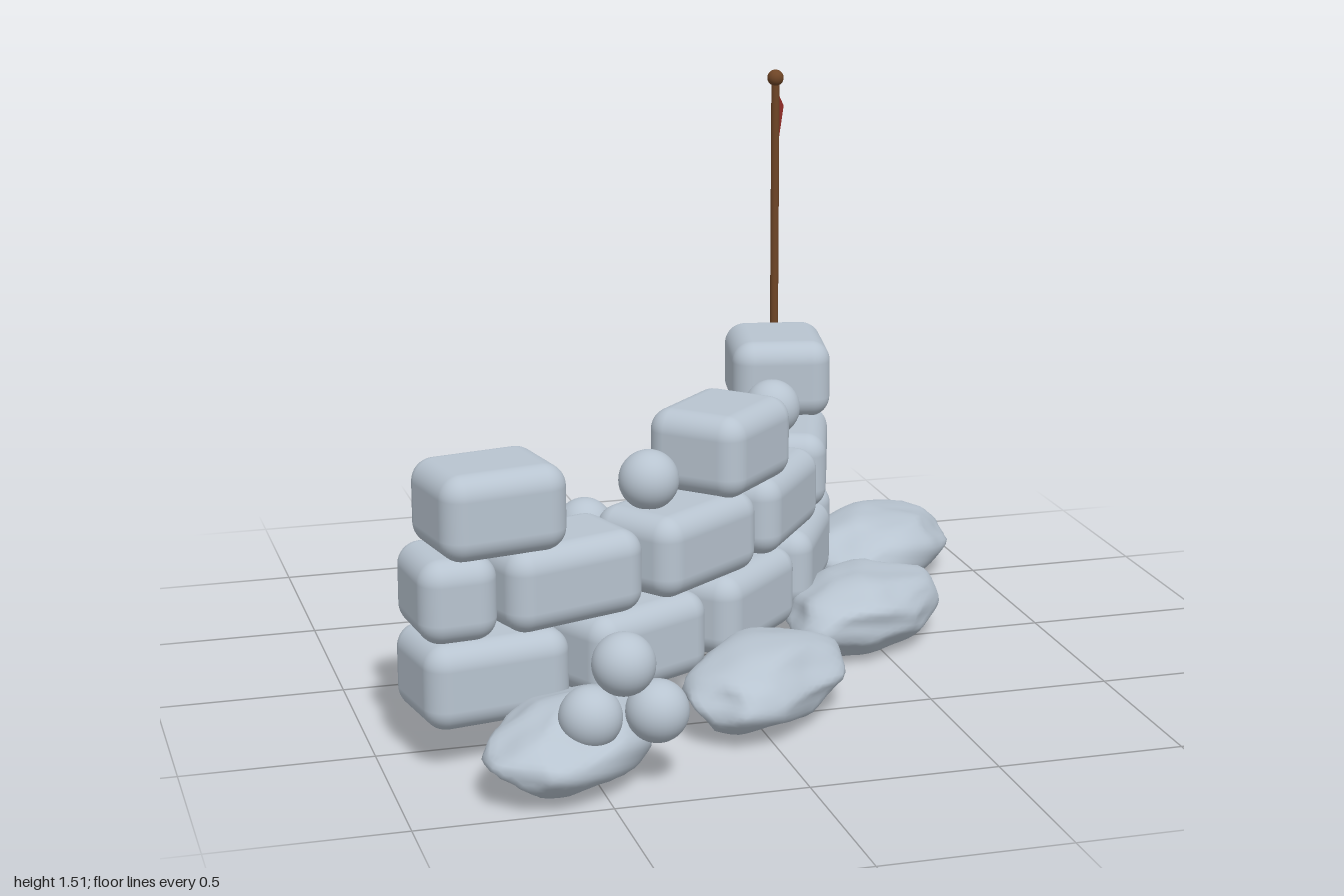
import * as THREE from 'three';
import { mergeVertices } from 'three/addons/utils/BufferGeometryUtils.js';
import { RoundedBoxGeometry } from 'three/addons/geometries/RoundedBoxGeometry.js';

const material = (name, color, side = THREE.FrontSide) => {
  const m = new THREE.MeshStandardMaterial({ color, side });
  m.name = name;
  return m;
};

// Small seeded generator
function seeded(seed) {
  let s = seed;
  return () => {
    s = (s * 16807) % 2147483647;
    return s / 2147483647;
  };
}

// Flattened lump: a unit ball cut by slanted planes, then gently rippled
function lumpGeometry(seed, a, b, c) {
  const rnd = seeded(seed * 7919 + 13);
  for (let i = 0; i < 5; i++) rnd();
  const cuts = [];
  for (let i = 0; i < 22; i++) {
    const y = rnd() * 2 - 1, t = rnd() * Math.PI * 2, r = Math.sqrt(1 - y * y);
    cuts.push({ n: new THREE.Vector3(r * Math.cos(t), y, r * Math.sin(t)), h: 0.86 + rnd() * 0.12 });
  }
  let geo = new THREE.IcosahedronGeometry(1, 9);
  geo.deleteAttribute('normal');
  geo.deleteAttribute('uv');
  geo = mergeVertices(geo, 1e-4);
  const pos = geo.attributes.position, v = new THREE.Vector3();
  for (let i = 0; i < pos.count; i++) {
    v.fromBufferAttribute(pos, i).normalize();
    let r = 1.03;
    for (const { n, h } of cuts) {
      const d = v.dot(n);
      if (d > 0.1) r = Math.min(r, h / d);
    }
    r += 0.018 * Math.sin(v.x * 7 + seed) * Math.sin(v.z * 8 + seed * 2) + 0.012 * Math.sin(v.y * 9 + v.x * 5);
    pos.setXYZ(i, v.x * r * a, v.y * r * b, v.z * r * c);
  }
  geo.computeVertexNormals();
  return geo;
}

export function createModel() {
  const model = new THREE.Group();
  model.name = 'curvedWall';
  const stone = material('pale stone', 0xb8c4d0);
  const wood = material('brown wood', 0x6e4526);
  const cloth = material('red cloth', 0xae3630, THREE.DoubleSide);

  const add = (name, geo, mat, x, y, z, parent = model) => {
    const mesh = new THREE.Mesh(geo, mat);
    mesh.name = name;
    mesh.position.set(x, y, z);
    parent.add(mesh);
    return mesh;
  };
  const group = (name) => {
    const g = new THREE.Group();
    g.name = name;
    model.add(g);
    return g;
  };

  // Blocks follow an arc; the angle gives each one's place and heading
  const CX = -0.963, CZ = -0.84, R = 1.386;
  const course = (name, angles, y, lengthOf, height, depth) => {
    const g = group(name);
    angles.forEach((deg, i) => {
      const t = THREE.MathUtils.degToRad(deg);
      const geo = new RoundedBoxGeometry(lengthOf(i), height, depth, 5, 0.06);
      const block = add('block', geo, stone, CX + R * Math.cos(t), y, CZ + R * Math.sin(t), g);
      block.rotation.y = Math.PI / 2 - t;
    });
  };
  course('bottomCourse', [80, 62.5, 45, 27.5, 10], 0.233, () => 0.39, 0.225, 0.29);
  course('middleCourse', [83.8, 71.25, 53.75, 36.25, 18.75, 6.2], 0.453,
    (i) => (i === 0 || i === 5 ? 0.205 : 0.4), 0.22, 0.275);
  course('battlements', [79, 45, 11], 0.665, () => 0.34, 0.225, 0.285);

  // Balls on the wall and in two piles
  const ballGeo = new THREE.SphereGeometry(0.08, 32, 20);
  const balls = (name, list) => {
    const g = group(name);
    list.forEach(([x, y, z]) => add('ball', ballGeo, stone, x, y, z, g));
  };
  balls('wallBalls', [[-0.23, 0.632, 0.32], [0.295, 0.63, -0.29]]);
  balls('frontPile', [[-0.53, 0.21, 0.885], [-0.36, 0.21, 0.885], [-0.445, 0.34, 0.885]]);
  balls('backPile', [[-0.305, 0.21, -0.232], [-0.232, 0.21, -0.256], [-0.268, 0.34, -0.244]]);

  // Low drifts at the foot of the wall: x, z, half length, half width, heading
  const drifts = group('drifts');
  [
    [-0.55, 0.775, 0.29, 0.18, 46],
    [0.035, 0.485, 0.3, 0.185, 48],
    [0.475, 0.0, 0.3, 0.185, 46],
    [0.695, -0.53, 0.28, 0.185, 44],
    [-0.5, 0.165, 0.3, 0.2, 44],
    [0.03, -0.36, 0.3, 0.19, 48],
  ].forEach(([x, z, a, c, deg], i) => {
    const lump = add('drift', lumpGeometry(i + 1, a, 0.108, c), stone, x, 0, z, drifts);
    lump.geometry.computeBoundingBox();
    lump.position.y = 0.012 - lump.geometry.boundingBox.min.y;
    lump.rotation.y = THREE.MathUtils.degToRad(deg);
  });

  // Pole with a knob and a triangular pennant
  const flag = group('flag');
  flag.position.set(0.435, 0, -0.725);
  add('pole', new THREE.CylinderGeometry(0.012, 0.012, 1, 16), wood, 0, 1.0, 0, flag);
  add('knob', new THREE.SphereGeometry(0.024, 20, 14), wood, 0, 1.503, 0, flag);
  const shape = new THREE.Shape();
  shape.moveTo(0.008, 1.465);
  shape.lineTo(0.008, 1.275);
  shape.lineTo(0.293, 1.372);
  shape.closePath();
  const geo = new THREE.ExtrudeGeometry(shape, { depth: 0.008, bevelEnabled: false });
  geo.translate(0, 0, -0.004);
  add('pennant', geo, cloth, 0, 0, 0, flag).rotation.y = Math.atan2(0.275, 0.108);

  return model;
}
